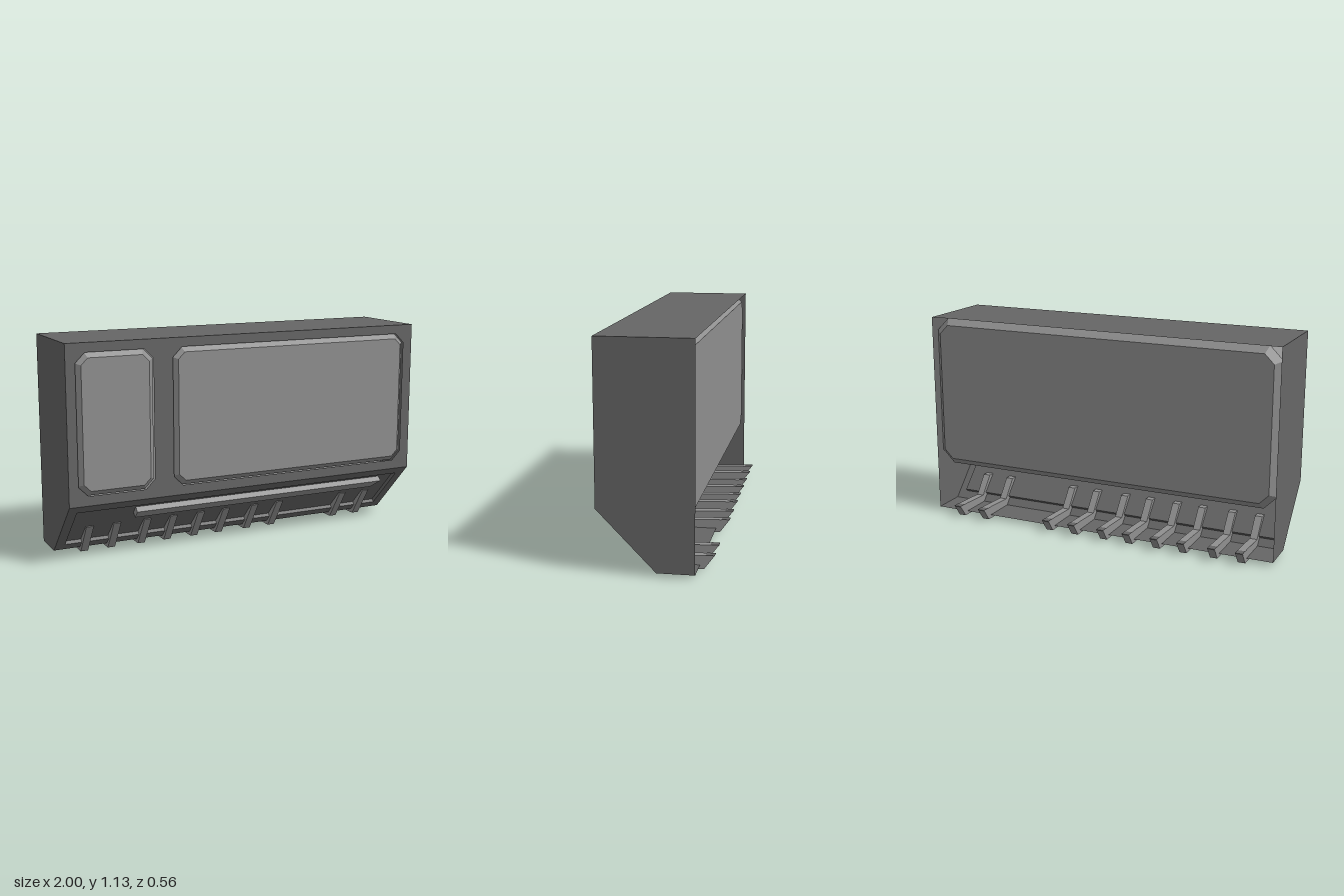
import * as THREE from 'three';

const bodyMat = new THREE.MeshStandardMaterial({ color: 0x666666, side: THREE.DoubleSide });
bodyMat.name = 'dark grey casing';
const lightMat = new THREE.MeshStandardMaterial({ color: 0x909090 });
lightMat.name = 'light grey panel';

const poly = (pts) => new THREE.Shape(pts.map(([x, y]) => new THREE.Vector2(x, y)));

// Rectangle with cut corners
const octagon = (x0, x1, y0, y1, c) => [
  [x0 + c, y0], [x1 - c, y0], [x1, y0 + c], [x1, y1 - c],
  [x1 - c, y1], [x0 + c, y1], [x0, y1 - c], [x0, y0 + c],
];

const rect = (x0, x1, y0, y1) => [[x0, y0], [x1, y0], [x1, y1], [x0, y1]];

function add(parent, name, geometry, material, x = 0, y = 0, z = 0) {
  const mesh = new THREE.Mesh(geometry, material);
  mesh.name = name;
  mesh.position.set(x, y, z);
  parent.add(mesh);
  return mesh;
}

// Thin sheet, optionally with holes
function sheet(parent, name, pts, holes = [], x = 0, y = 0, z = 0) {
  const shape = poly(pts);
  holes.forEach((h) => shape.holes.push(new THREE.Path(poly(h).getPoints())));
  return add(parent, name, new THREE.ShapeGeometry(shape), bodyMat, x, y, z);
}

// Block with bevelled rims at both ends, z0 is its back face
function bevelBlock(parent, name, pts, bevel, z0, z1) {
  const geometry = new THREE.ExtrudeGeometry(poly(pts), {
    depth: z1 - z0 - 2 * bevel, bevelEnabled: true,
    bevelThickness: bevel, bevelSize: bevel, bevelSegments: 1,
  });
  return add(parent, name, geometry, lightMat, 0, 0, z0 + bevel);
}

export function createModel() {
  const model = new THREE.Group();
  model.name = 'casing unit';
  const front = 0.27, back = -0.205, top = 1.133, floorY = 0.02, floorZ = -0.02, bend = 0.32;

  // Casing: two sides, top, floor and pierced front
  const side = [[-front, top], [-back, top], [-back, floorY], [-floorZ, floorY], [-front, bend]];
  for (const s of [-1, 1]) {
    sheet(model, s > 0 ? 'leftWall' : 'rightWall', side, [], s).rotation.y = Math.PI / 2;
  }
  sheet(model, 'topWall', rect(-1, 1, -front, -back), [], 0, top).rotation.x = -Math.PI / 2;
  sheet(model, 'floor', rect(-1, 1, -floorZ, -back), [], 0, floorY).rotation.x = -Math.PI / 2;
  const windows = [[-0.95, -0.545], [-0.44, 0.945]];
  sheet(model, 'frontWall', rect(-1, 1, bend, top),
    windows.map(([a, b]) => octagon(a, b, 0.37, 1.085, 0.05)), 0, 0, front);

  // Raised front panels and the large rear panel
  const bevel = 0.026;
  windows.forEach(([a, b], i) => bevelBlock(model, i ? 'wideFrontPanel' : 'narrowFrontPanel',
    octagon(a + bevel, b - bevel, 0.37 + bevel, 1.085 - bevel, 0.035), bevel, 0.205, 0.28));
  bevelBlock(model, 'rearPanel', octagon(-0.96, 0.96, 0.32, 1.09, 0.05), 0.036, -0.19, 0.12);

  // Sloping lower front with a shallow tray
  const slope = new THREE.Group();
  slope.name = 'slopingFront';
  slope.position.set(0, floorY, floorZ);
  slope.rotation.x = Math.atan2(front - floorZ, bend - floorY);
  model.add(slope);
  const length = Math.hypot(front - floorZ, bend - floorY);
  const x = 0.95, y0 = 0.049, y1 = 0.361, depth = 0.02;
  sheet(slope, 'slopeWall', rect(-1, 1, 0, length), [rect(-x, x, y0, y1)]);
  sheet(slope, 'trayBack', rect(-x, x, y0, y1), [], 0, 0, -depth);
  for (const y of [y0, y1]) {
    sheet(slope, 'trayEdge', rect(-x, x, 0, depth), [], 0, y).rotation.x = -Math.PI / 2;
  }
  for (const s of [-1, 1]) {
    sheet(slope, 'trayEnd', rect(0, depth, y0, y1), [], s * x).rotation.y = Math.PI / 2;
  }

  // Long bar in the tray, mitred at one end
  const bar = poly([[-0.62, 0.262], [0.82, 0.262], [0.865, 0.315], [-0.62, 0.315]]);
  add(slope, 'trayBar', new THREE.ExtrudeGeometry(bar, { depth: 0.032, bevelEnabled: false }),
    lightMat, 0, 0, -0.02);

  // Bent contacts that wrap under the floor, with dark tips
  const width = 0.04;
  const contact = poly([[-0.1, 0.16], [0.005, 0], [0.225, 0], [0.275, 0.068],
    [0.2, 0.068], [0.03, 0.06], [-0.05, 0.16]]);
  const contactGeometry = new THREE.ExtrudeGeometry(contact, { depth: width, bevelEnabled: false });
  contactGeometry.rotateY(Math.PI / 2).translate(-width / 2, 0, 0);
  const tipGeometry = new THREE.BoxGeometry(width, 0.003, 0.042);
  for (const px of [-0.84, -0.69, -0.52, -0.37, -0.21, -0.06, 0.115, 0.27, 0.68, 0.835]) {
    add(model, 'contact', contactGeometry, lightMat, px);
    add(model, 'contactTip', tipGeometry, bodyMat, px, 0.0685, -0.255);
  }
  return model;
}
